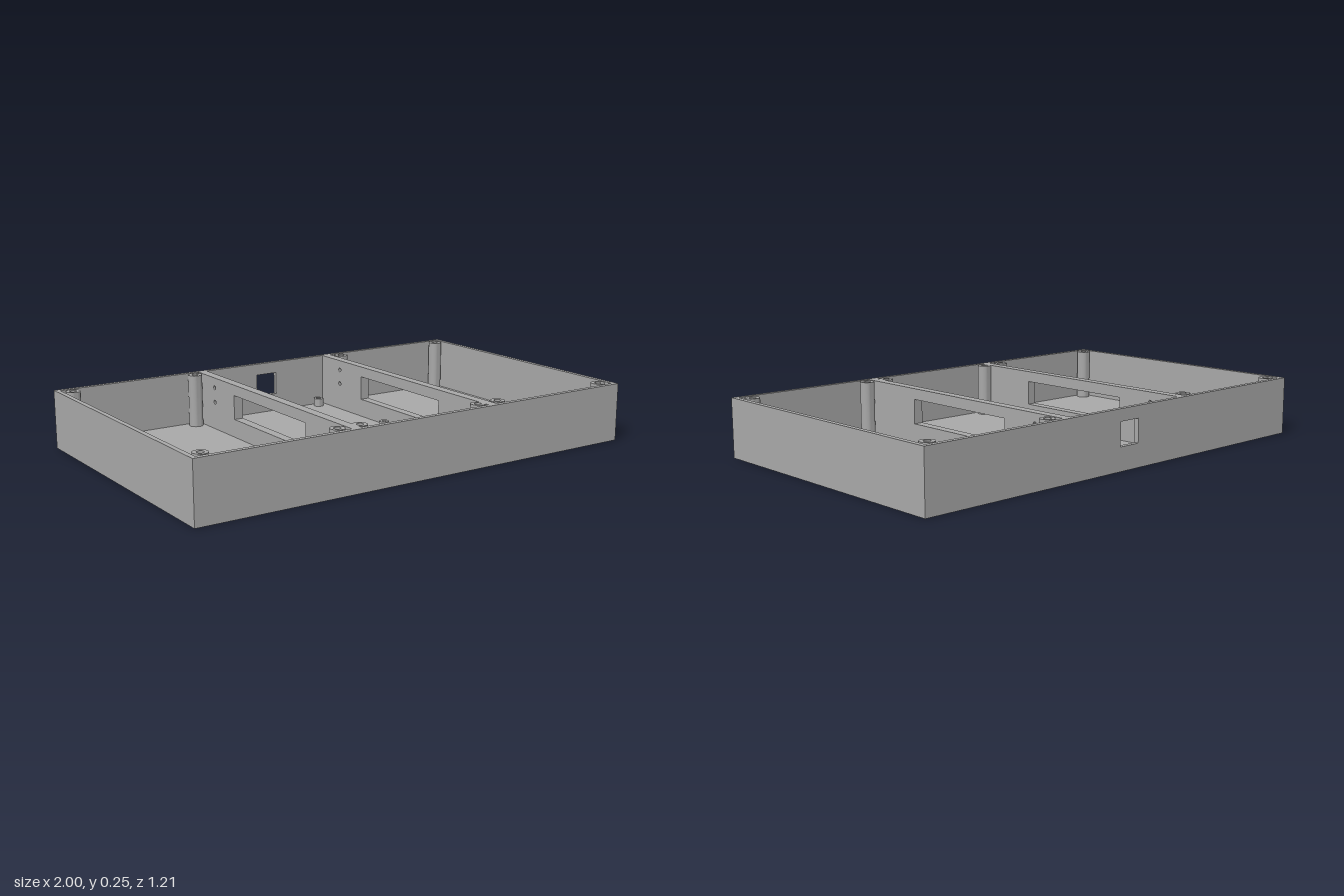
import * as THREE from 'three';
import { toCreasedNormals } from 'three/addons/utils/BufferGeometryUtils.js';

const W = 2, D = 1.21, H = 0.245;      // outer size
const WALL = 0.02, FLOOR = 0.02;
const DIVIDER_X = 0.324, DIVIDER_T = 0.041;
const HOLE_R = 0.014;

// rectangle outline from two corners
function rect(x0, y0, x1, y1, Type = THREE.Shape) {
  const s = new Type();
  s.moveTo(x0, y0);
  s.lineTo(x1, y0);
  s.lineTo(x1, y1);
  s.lineTo(x0, y1);
  s.closePath();
  return s;
}

function circle(x, y, r, Type = THREE.Path) {
  return new Type().absarc(x, y, r, 0, Math.PI * 2, false);
}

function extrude(shape, depth) {
  const geo = new THREE.ExtrudeGeometry(shape, { depth, bevelEnabled: false, curveSegments: 12 });
  return toCreasedNormals(geo, 0.6);
}

export function createModel() {
  const model = new THREE.Group();
  model.name = 'enclosureBase';
  const grey = new THREE.MeshStandardMaterial({ color: 0xa8a8a8 });
  grey.name = 'grey plastic';

  function add(name, geo, x = 0, y = 0, z = 0) {
    const mesh = new THREE.Mesh(geo, grey);
    mesh.name = name;
    mesh.position.set(x, y, z);
    model.add(mesh);
  }

  // screw posts reach the rim, standoffs are short
  const posts = [];
  for (const s of [-1, 1]) {
    for (const z of [-0.547, 0.547]) {
      for (const x of [0.94, 0.382]) posts.push({ name: 'screwPost', x: s * x, z, r: 0.03, top: H });
    }
    posts.push({ name: 'innerScrewPost', x: s * 0.282, z: 0.547, r: 0.03, top: H });
    for (const z of [-0.55, -0.036]) {
      posts.push({ name: 'boardStandoff', x: s * 0.258, z, r: 0.022, top: 0.055 });
    }
  }

  // floor with a screw hole under each post
  const floor = rect(-W / 2, -D / 2, W / 2, D / 2);
  for (const p of posts) floor.holes.push(circle(p.x, -p.z, HOLE_R * p.r / 0.03));
  add('floor', extrude(floor, FLOOR).rotateX(-Math.PI / 2));

  // hollow posts
  for (const p of posts) {
    const ring = circle(0, 0, p.r, THREE.Shape);
    ring.holes.push(circle(0, 0, HOLE_R * p.r / 0.03));
    add(p.name, extrude(ring, p.top - FLOOR).rotateX(-Math.PI / 2), p.x, FLOOR, p.z);
  }

  // front wall is plain, back wall has a square port
  const backWall = rect(-W / 2, FLOOR, W / 2, H);
  backWall.holes.push(rect(-0.05, 0.097, 0.05, 0.195, THREE.Path));
  add('backWall', extrude(backWall, WALL), 0, 0, -D / 2);
  add('frontWall', extrude(rect(-W / 2, FLOOR, W / 2, H), WALL), 0, 0, D / 2 - WALL);

  // side walls and dividers fit between front and back
  const inner = D / 2 - WALL;
  for (const s of [-1, 1]) {
    const side = extrude(rect(-inner, FLOOR, inner, H), WALL).rotateY(-Math.PI / 2);
    add(s > 0 ? 'leftWall' : 'rightWall', side, s * (W / 2 - WALL / 2) + WALL / 2);

    // divider with a cable window and two small holes near the back
    const divider = rect(-inner, FLOOR, inner, H);
    divider.holes.push(rect(-0.275, 0.097, 0.275, 0.2, THREE.Path));
    for (const y of [0.138, 0.202]) divider.holes.push(circle(-0.442, y, 0.009));
    const geo = extrude(divider, DIVIDER_T).rotateY(-Math.PI / 2);
    add(s > 0 ? 'leftDivider' : 'rightDivider', geo, s * DIVIDER_X + DIVIDER_T / 2);
  }

  return model;
}
